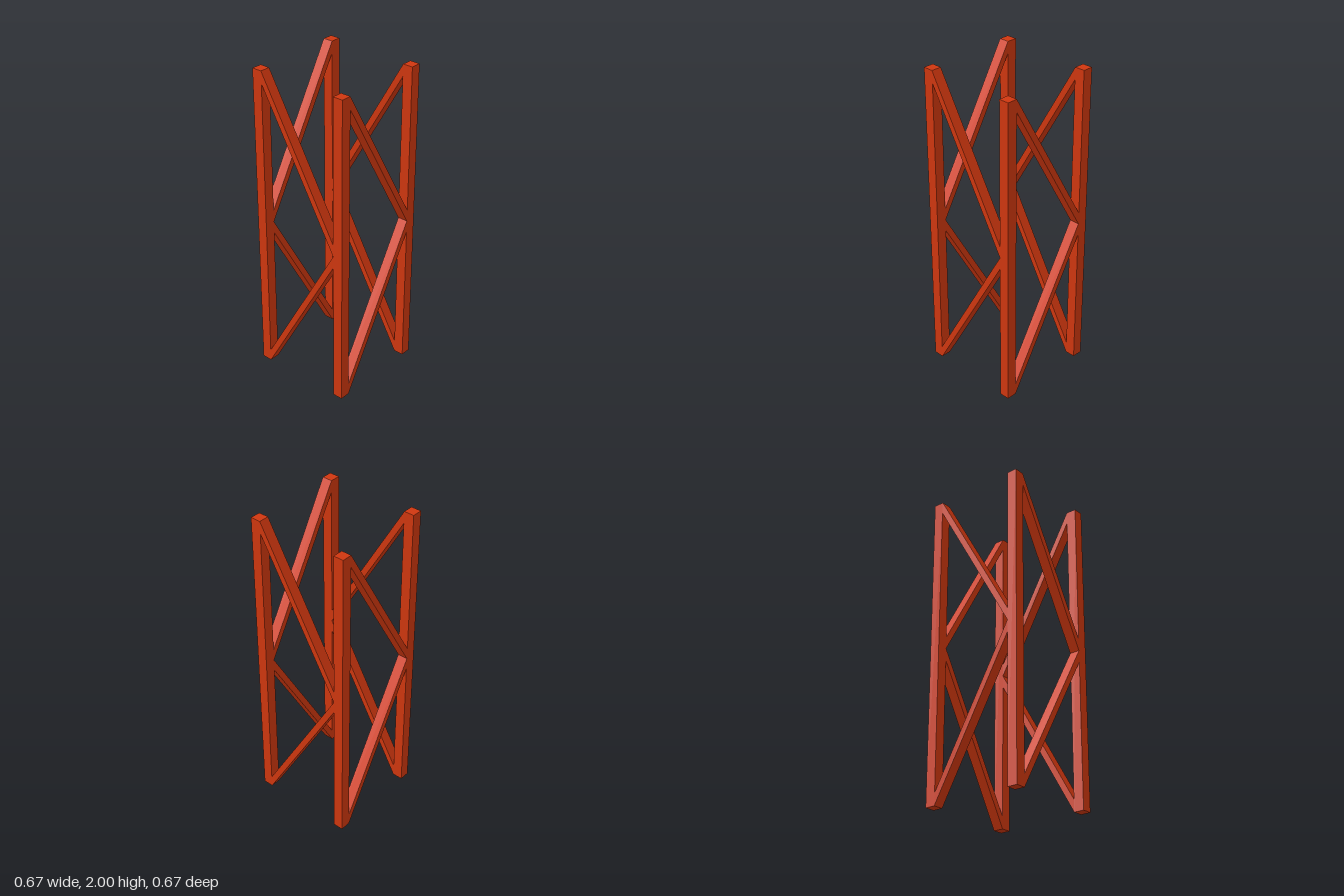
import * as THREE from 'three';

const OUTER = 0.333;          // half width of the tower
const POST = 0.066;           // post and brace depth
const INNER = OUTER - POST;   // inner face of the posts
const BRACE = 0.077;          // vertical thickness of a brace

// Slanted bar between two posts, cut vertically at both ends
function braceGeometry(leftY, rightY) {
  const shape = new THREE.Shape([
    new THREE.Vector2(-INNER, leftY),
    new THREE.Vector2(INNER, rightY),
    new THREE.Vector2(INNER, rightY + BRACE),
    new THREE.Vector2(-INNER, leftY + BRACE),
  ]);
  const geometry = new THREE.ExtrudeGeometry(shape, { depth: POST, bevelEnabled: false });
  return geometry.translate(0, 0, INNER);
}

export function createModel() {
  const paint = new THREE.MeshStandardMaterial({ color: 0xd0370f });
  paint.name = 'red orange paint';

  const model = new THREE.Group();
  model.name = 'latticeTower';

  const post = new THREE.BoxGeometry(POST, 2, POST);
  post.translate(OUTER - POST / 2, 1, OUTER - POST / 2);
  const lower = braceGeometry(0, 1 - BRACE);
  const upper = braceGeometry(2 - BRACE, 1);

  // Four identical sides, each one post and a zigzag of two braces
  const names = ['front', 'left', 'back', 'right'];
  names.forEach((name, i) => {
    const side = new THREE.Group();
    side.name = name + 'Side';
    const parts = { cornerPost: post, lowerBrace: lower, upperBrace: upper };
    for (const [part, geometry] of Object.entries(parts)) {
      const mesh = new THREE.Mesh(geometry, paint);
      mesh.name = part;
      side.add(mesh);
    }
    side.rotation.y = i * Math.PI / 2;
    model.add(side);
  });

  return model;
}
